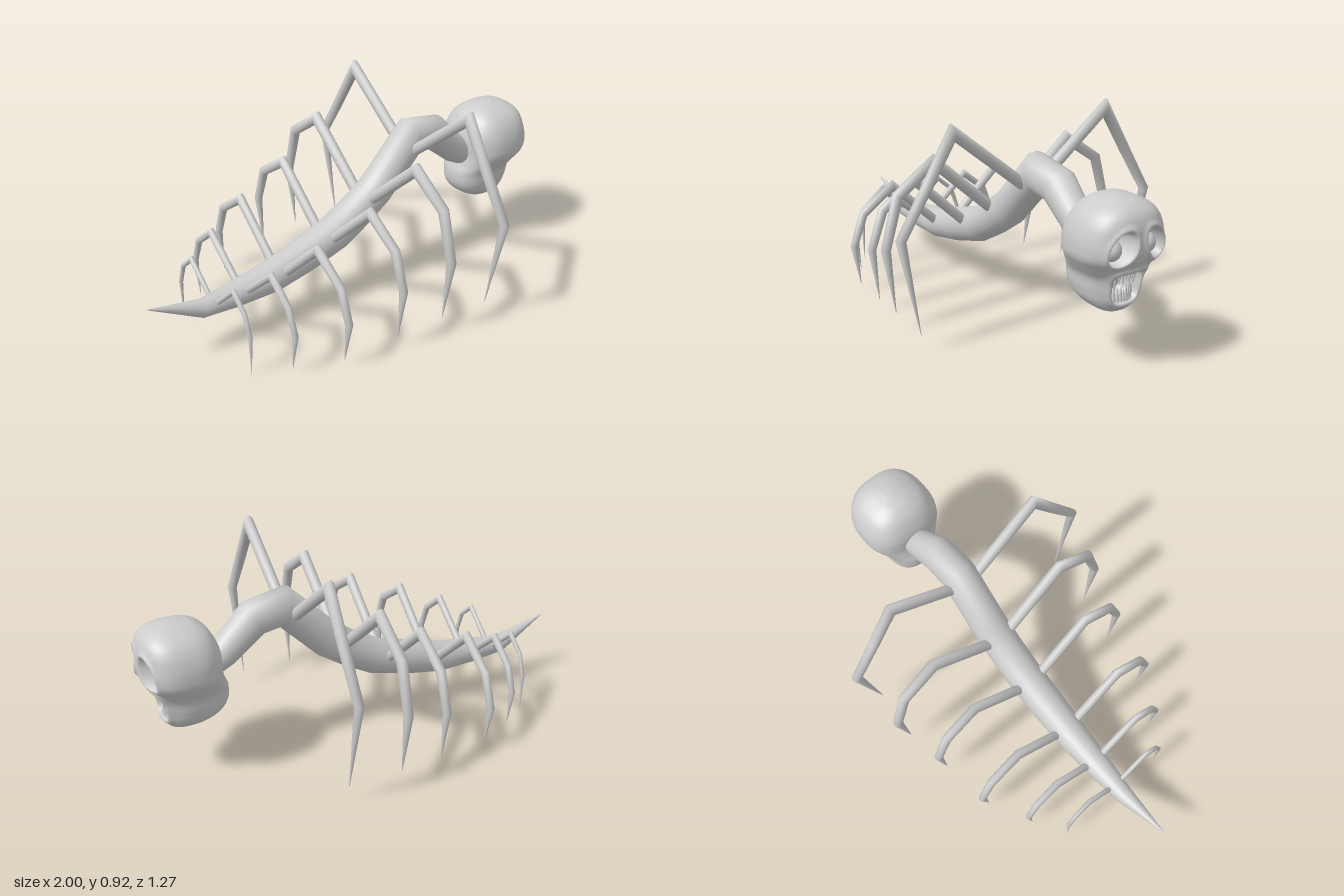
import * as THREE from 'three';

const CZ = -0.015; // centre line of body and head
const material = new THREE.MeshStandardMaterial({ color: 0xcccccc, side: THREE.DoubleSide });

function addMesh(parent, geometry, name) {
  const mesh = new THREE.Mesh(geometry, material);
  mesh.name = name;
  parent.add(mesh);
  return mesh;
}

// Skin a list of closed rings (arrays of Vector3 of equal length) and close both ends
function loft(rings) {
  const n = rings[0].length, index = [], points = rings.flat();
  for (let i = 0; i < rings.length - 1; i++) {
    for (let j = 0; j < n; j++) {
      const a = i * n + j, b = i * n + (j + 1) % n;
      index.push(a, b, a + n, b, b + n, a + n);
    }
  }
  for (const end of [0, rings.length - 1]) {
    const c = points.length;
    points.push(rings[end].reduce((s, p) => s.add(p), new THREE.Vector3()).divideScalar(n));
    for (let j = 0; j < n; j++) {
      const a = end * n + j, b = end * n + (j + 1) % n;
      if (end === 0) index.push(c, b, a);
      else index.push(c, a, b);
    }
  }
  const g = new THREE.BufferGeometry().setFromPoints(points);
  g.setIndex(index);
  g.computeVertexNormals();
  return g;
}

// Tapered tube with mitred joints along a flat path; b is the normal of the path's plane
function taperedTube(path, radii, b, sides) {
  const rings = path.map((p, i) => {
    const before = p.clone().sub(path[Math.max(i - 1, 0)]).normalize();
    const after = path[Math.min(i + 1, path.length - 1)].clone().sub(p).normalize();
    const t = before.clone().add(after).normalize();
    const miter = 1 / Math.max(0.6, Math.max(t.dot(before), t.dot(after)));
    const n = b.clone().cross(t);
    return Array.from({ length: sides }, (_, j) => {
      const a = j / sides * Math.PI * 2;
      return p.clone().addScaledVector(n, Math.cos(a) * radii[i] * miter)
        .addScaledVector(b, Math.sin(a) * radii[i]);
    });
  });
  return loft(rings);
}

// Spine-like body: x, y, radius from tail tip to neck
function buildBody(group) {
  const spine = [
    [-1, 0.3, 0.002], [-0.76, 0.208, 0.04], [-0.6, 0.212, 0.056], [-0.42, 0.226, 0.07],
    [-0.25, 0.267, 0.077], [-0.07, 0.322, 0.08], [0.05, 0.39, 0.08], [0.16, 0.465, 0.08],
    [0.36, 0.667, 0.078], [0.495, 0.645, 0.077], [0.63, 0.525, 0.066], [0.76, 0.455, 0.06],
  ];
  addMesh(group, taperedTube(spine.map(([x, y]) => new THREE.Vector3(x, y, CZ)),
    spine.map(s => s[2]), new THREE.Vector3(0, 0, 1), 24), 'body');
}

// Six pairs of jointed legs; points are [sideways, height] from hip to tip
function buildLegs(group) {
  const legs = [
    { x: 0.33, r: 0.025, c: 0, p: [[0.03, 0.61], [0.375, 0.885], [0.49, 0.69], [0.612, 0.49], [0.53, 0.075]] },
    { x: 0.095, r: 0.025, c: -0.018, p: [[0.03, 0.43], [0.34, 0.705], [0.51, 0.585], [0.57, 0.365], [0.53, 0.08]] },
    { x: -0.12, r: 0.022, c: -0.018, p: [[0.03, 0.305], [0.307, 0.562], [0.465, 0.455], [0.522, 0.29], [0.493, 0.055]] },
    { x: -0.37, r: 0.02, c: -0.018, p: [[0.03, 0.235], [0.28, 0.468], [0.43, 0.36], [0.482, 0.215], [0.453, 0.03]] },
    { x: -0.56, r: 0.016, c: -0.018, p: [[0.025, 0.22], [0.225, 0.393], [0.335, 0.3], [0.378, 0.185], [0.355, 0.015]] },
    { x: -0.7, r: 0.011, c: -0.018, p: [[0.02, 0.215], [0.16, 0.343], [0.235, 0.275], [0.268, 0.18], [0.264, 0]] },
  ];
  const taper = [1, 1, 0.93, 0.82, 0.04];
  legs.forEach(({ x, r, c, p }, i) => {
    for (const side of [1, -1]) {
      const path = p.map(([z, y]) => new THREE.Vector3(x, y, c + side * z));
      addMesh(group, taperedTube(path, taper.map(k => k * r), new THREE.Vector3(1, 0, 0), 14),
        (side > 0 ? 'frontSideLeg' : 'backSideLeg') + (i + 1));
    }
  });
}

// How far the face moves outward at a point: sockets and mouth sink, their rims rise
function faceRelief(z, y) {
  const step = THREE.MathUtils.smoothstep;
  const dip = (d, depth, rim) =>
    -depth * (1 - step(d, 0.72, 1.02)) + rim * Math.exp(-(((d - 1.15) / 0.16) ** 2));
  const u = Math.abs(z) - 0.078, v = y - 0.545;
  const eye = Math.hypot((u + v * 0.3) / 0.05, v / 0.066);
  const halfWidth = 0.069 + (y - 0.365) * 0.11;
  const mouth = ((z / halfWidth) ** 4 + ((y - 0.365) / 0.066) ** 4) ** 0.25;
  return dip(eye, 0.085, 0.006) + dip(mouth, 0.1, 0.01);
}

function buildHead(group) {
  const head = new THREE.Group();
  head.name = 'head';
  group.add(head);

  // Skull levels: height, back x, front x, half width
  const levels = [
    [0.246, 0.78, 0.84, 0.02], [0.262, 0.725, 0.89, 0.065], [0.3, 0.665, 0.91, 0.1],
    [0.345, 0.635, 0.922, 0.114], [0.4, 0.633, 0.935, 0.122], [0.445, 0.65, 0.955, 0.15],
    [0.49, 0.662, 0.985, 0.178], [0.53, 0.663, 0.995, 0.183], [0.58, 0.667, 0.992, 0.177],
    [0.63, 0.685, 0.985, 0.158], [0.67, 0.712, 0.965, 0.125], [0.7, 0.757, 0.92, 0.07],
    [0.714, 0.82, 0.86, 0.02],
  ];
  const heights = new THREE.CatmullRomCurve3(levels.map(l => new THREE.Vector3(0, l[0], 0)), false, 'catmullrom');
  const spans = new THREE.CatmullRomCurve3(levels.map(l => new THREE.Vector3(l[1], l[2], l[3])), false, 'catmullrom');
  const power = v => Math.sign(v) * Math.abs(v) ** 0.77;
  const rows = 110, cols = 128, rings = [];
  for (let i = 0; i <= rows; i++) {
    const y = heights.getPoint(i / rows).y, s = spans.getPoint(i / rows);
    const ring = [];
    for (let j = 0; j < cols; j++) {
      // columns crowd towards the face
      const k = j / cols * Math.PI * 2, a = k - 0.55 * Math.sin(k);
      const z = -power(Math.sin(a)) * s.z;
      let x = (s.x + s.y) / 2 + power(Math.cos(a)) * (s.y - s.x) / 2;
      if (Math.cos(a) > 0.1) x = Math.min(1, x + faceRelief(z, y));
      ring.push(new THREE.Vector3(x, y, CZ + z));
    }
    rings.push(ring);
  }
  addMesh(head, loft(rings), 'skull');

  // Eyeballs deep in the sockets
  for (const side of [1, -1]) {
    addMesh(head, new THREE.SphereGeometry(0.042, 24, 16), 'eyeball')
      .position.set(0.912, 0.525, CZ + side * 0.082);
  }

  // Two rows of needle teeth
  const count = 9;
  for (const up of [1, -1]) {
    for (let i = 0; i < count; i++) {
      const f = (i / (count - 1)) * 2 - 1;
      const length = 0.05 + 0.014 * (i % 2) + 0.012 * Math.abs(f);
      const tooth = addMesh(head, new THREE.ConeGeometry(0.0085, length, 8), up > 0 ? 'lowerTooth' : 'upperTooth');
      tooth.position.set(0.912 - 0.02 * f * f - (up > 0 ? 0.012 : 0),
        up > 0 ? 0.303 + length / 2 : 0.428 - length / 2, CZ + f * (up > 0 ? 0.052 : 0.06));
      if (up < 0) tooth.rotation.x = Math.PI;
    }
  }
}

export function createModel() {
  const group = new THREE.Group();
  group.name = 'skullCentipede';
  buildBody(group);
  buildLegs(group);
  buildHead(group);
  return group;
}
